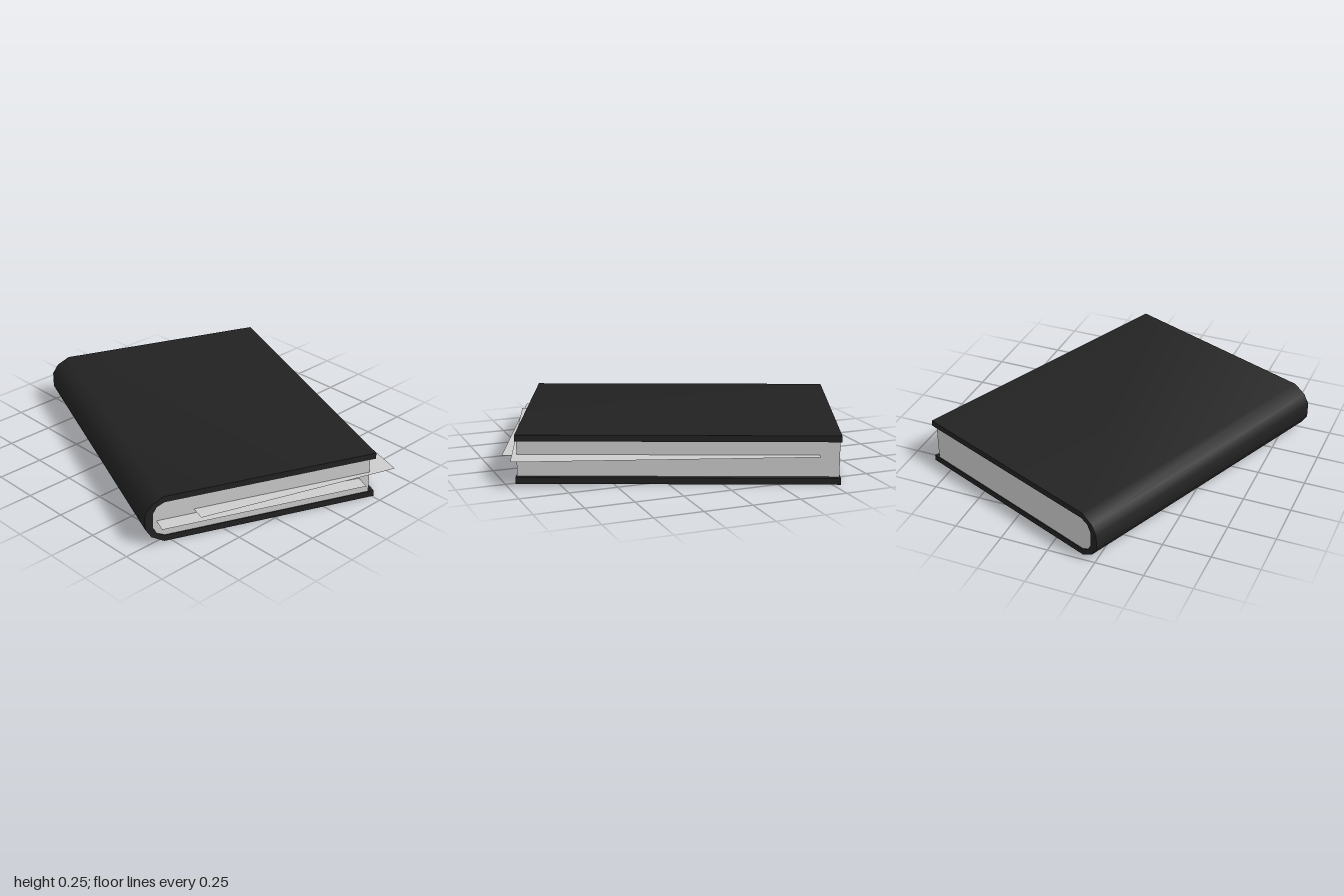
import * as THREE from 'three';
import { toCreasedNormals } from 'three/addons/utils/BufferGeometryUtils.js';

const TURN = -0.3885; // the book lies turned on the ground

// Extrudes a (depth, height) cross-section along the length of the spine
function alongSpine(points, length) {
  const shape = new THREE.Shape(points.map(([z, y]) => new THREE.Vector2(z, y)));
  const geo = new THREE.ExtrudeGeometry(shape, { depth: length, bevelEnabled: false });
  geo.translate(0, 0, -length / 2).rotateY(-Math.PI / 2);
  return toCreasedNormals(geo, 0.72);
}

// Completes the lower half of a cross-section by mirroring it at half height
const T = 0.25;
const mirrored = (half) => half.concat(half.map(([z, y]) => [z, T - y]).reverse());

export function createModel() {
  const coverMat = new THREE.MeshStandardMaterial({ color: 0x222222 });
  coverMat.name = 'black cover';
  const paperMat = new THREE.MeshStandardMaterial({ color: 0xcccccc });
  paperMat.name = 'grey paper';
  const sheetMat = new THREE.MeshStandardMaterial({ color: 0xcccccc, side: THREE.DoubleSide });
  sheetMat.name = 'loose paper';

  const model = new THREE.Group();
  model.name = 'book';
  const book = new THREE.Group();
  book.name = 'boundBook';
  book.position.x = -0.025;
  book.rotation.y = TURN;
  model.add(book);

  const add = (parent, name, geo, mat) => {
    const mesh = new THREE.Mesh(geo, mat);
    mesh.name = name;
    parent.add(mesh);
    return mesh;
  };

  // Cover wrapping round the spine, open at the fore edge
  const outer = mirrored([[-0.61, 0], [0.515, 0], [0.58, 0.037], [0.61, 0.085]]);
  const inner = mirrored([[-0.61, 0.032], [0.51, 0.032], [0.55, 0.05], [0.57, 0.085]]);
  add(book, 'cover', alongSpine([...outer, ...inner.reverse()], 1.61), coverMat);

  // Page block filling the cover
  const block = mirrored([[-0.58, 0.032], [0.51, 0.032], [0.55, 0.05], [0.57, 0.085]]);
  add(book, 'pages', alongSpine(block, 1.6), paperMat);

  // Loose sheets sticking out, each placed by its outer back corner
  for (const [name, x, y, z, turn] of [
    ['upperLooseSheet', 1, 0.143, -0.355, -0.323],
    ['lowerLooseSheet', 0.99, 0.12, -0.15, TURN],
  ]) {
    const geo = new THREE.PlaneGeometry(1.52, 1.075).rotateX(-Math.PI / 2);
    geo.translate(-0.76, 0, 0.5375);
    const sheet = add(model, name, geo, sheetMat);
    sheet.position.set(x, y, z);
    sheet.rotation.y = turn;
  }
  return model;
}
